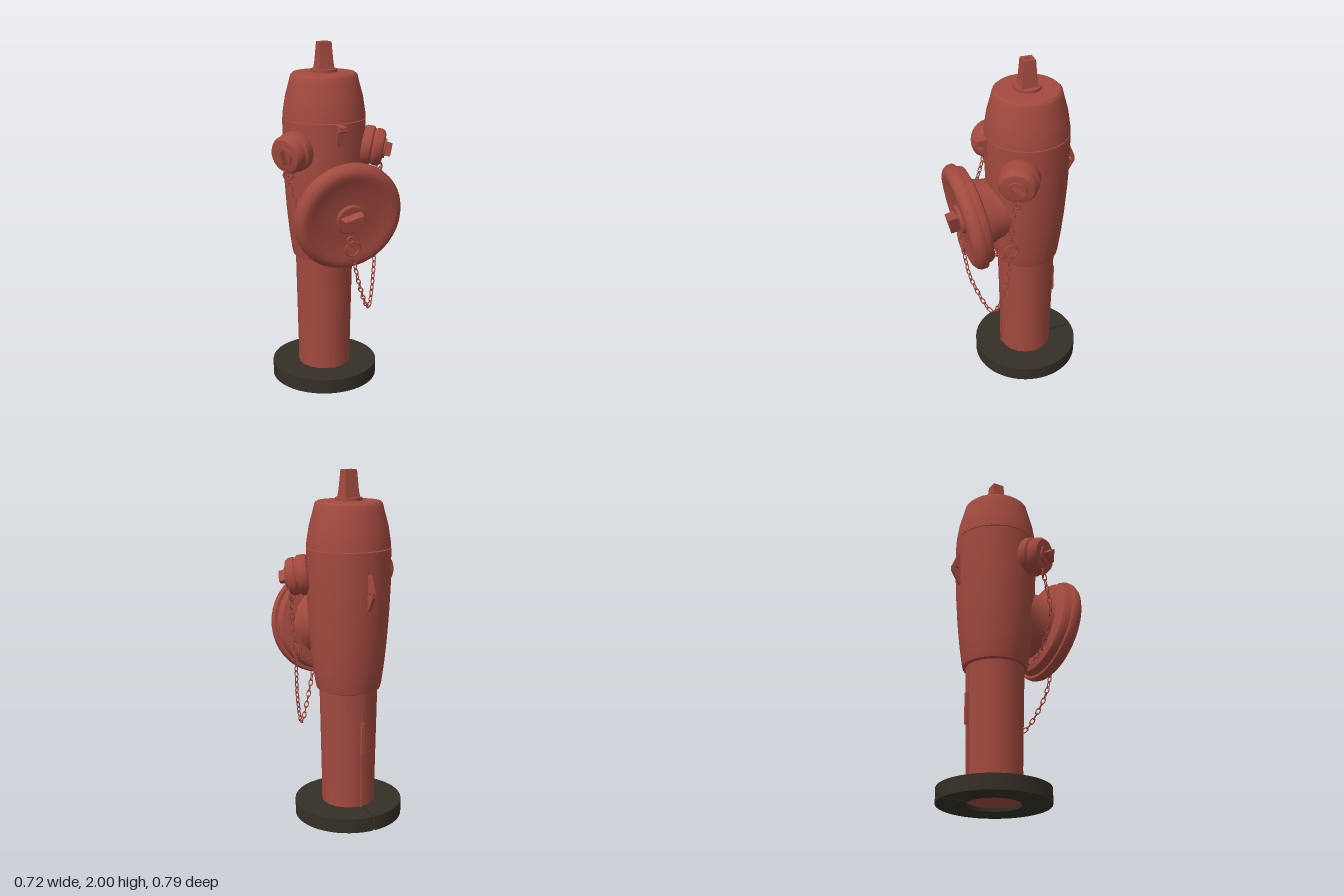
import * as THREE from 'three';
import { toCreasedNormals } from 'three/addons/utils/BufferGeometryUtils.js';

const UP = new THREE.Vector3(0, 1, 0);
const AXIS_X = 0.01, AXIS_Z = -0.08;

export function createModel() {
  const root = new THREE.Group();
  root.name = 'hydrant';
  const red = new THREE.MeshStandardMaterial({ color: 0xa34a3f });
  red.name = 'red paint';
  const dark = new THREE.MeshStandardMaterial({ color: 0x343027 });
  dark.name = 'dark base';

  const add = (parent, name, geometry, material = red) => {
    const mesh = new THREE.Mesh(geometry, material);
    mesh.name = name;
    parent.add(mesh);
    return mesh;
  };
  // Profile of [radius, height] pairs, listed from the bottom up
  const lathe = (profile, sides = 32, start = 0) => toCreasedNormals(
    new THREE.LatheGeometry(profile.map(([r, h]) => new THREE.Vector2(r, h)), sides, start), 0.6);
  const polygon = (points) => new THREE.Shape(points.map(([u, v]) => new THREE.Vector2(u, v)));
  const plate = (shape, thickness) => new THREE.ExtrudeGeometry(shape, { depth: thickness, bevelEnabled: false })
    .translate(0, 0, -thickness / 2);

  // Everything that shares the upright axis
  const column = new THREE.Group();
  column.name = 'column';
  column.position.set(AXIS_X, 0, AXIS_Z);
  root.add(column);

  // Base ring with a slit at the back
  const q = Math.PI / 2, turn = Math.PI * 2;
  const ring = new THREE.Shape();
  ring.absarc(0, 0, 0.312, q + 0.016, q + turn - 0.016, false);
  ring.absarc(0, 0, 0.15, q + turn - 0.033, q + 0.033, true);
  const ringGeometry = new THREE.ExtrudeGeometry(ring, { depth: 0.085, bevelEnabled: false, curveSegments: 28 });
  add(column, 'baseRing', toCreasedNormals(ringGeometry.rotateX(-q), 0.5), dark);

  // Standpipe, barrel and bonnet
  add(column, 'standpipe', lathe([[0, 0.02], [0.155, 0.02], [0.156, 0.2], [0.162, 0.5], [0.168, 0.79]], 20));
  add(column, 'barrel', lathe([[0.16, 0.765], [0.182, 0.775], [0.19, 0.81], [0.205, 0.92], [0.218, 1.05],
    [0.23, 1.22], [0.237, 1.38], [0.237, 1.575], [0.2, 1.575]]));
  add(column, 'bonnet', lathe([[0.2, 1.58], [0.236, 1.58], [0.234, 1.61], [0.22, 1.7], [0.198, 1.78],
    [0.188, 1.82], [0.175, 1.832], [0, 1.836]]));
  add(column, 'topWasher', lathe([[0.075, 1.832], [0.075, 1.85], [0, 1.853]]));
  add(column, 'topNut', lathe([[0.066, 1.85], [0.058, 1.89], [0.047, 2], [0.022, 2], [0.018, 1.97], [0, 1.97]],
    4, Math.PI / 4));

  // Rear eye lug and front fin
  const lug = polygon([[0.2, 1.24], [0.24, 1.26], [0.285, 1.335], [0.285, 1.365], [0.25, 1.45], [0.2, 1.47]]);
  const eye = new THREE.Path();
  eye.absarc(0.256, 1.35, 0.012, 0, turn, true);
  lug.holes.push(eye);
  add(column, 'rearLug', plate(lug, 0.02).rotateY(q));
  const fin = polygon([[0.2, 1.44], [0.24, 1.45], [0.255, 1.53], [0.3, 1.545], [0.3, 1.568], [0.2, 1.575]]);
  add(column, 'frontFin', plate(fin, 0.04).rotateY(-q));

  // Casting seams on the standpipe
  add(column, 'frontSeam', new THREE.BoxGeometry(0.012, 0.68, 0.02).translate(0, 0.42, 0.154));
  add(column, 'rearSeam', new THREE.BoxGeometry(0.012, 0.68, 0.02).translate(0, 0.42, -0.157));
  for (const [y, h] of [[0.52, 0.16], [0.43, 0.02]]) {
    add(column, 'seamBurr', new THREE.BoxGeometry(0.018, h, 0.03).translate(0, y, -0.167));
  }

  // Group whose local y points along a direction
  const aimed = (name, position, direction) => {
    const group = new THREE.Group();
    group.name = name;
    group.position.set(...position);
    group.quaternion.setFromUnitVectors(UP, new THREE.Vector3(...direction).normalize());
    root.add(group);
    return group;
  };

  // Large front outlet, its cap leaning slightly downward
  const front = aimed('frontOutlet', [AXIS_X, 1.08, 0.33], [0, -0.165, 0.986]);
  add(front, 'frontNeck', lathe([[0.17, -0.36], [0.17, -0.24], [0.18, -0.18], [0.205, -0.12]], 24));
  add(front, 'frontCap', lathe([[0, -0.13], [0.23, -0.13], [0.275, -0.118], [0.286, -0.1], [0.288, -0.075],
    [0.305, -0.075], [0.311, -0.065], [0.311, -0.04], [0.3, -0.018], [0.28, -0.003], [0.26, 0],
    [0.23, -0.006], [0.18, -0.018], [0.1, -0.018], [0, -0.016]], 40));
  add(front, 'frontNutFlange', lathe([[0.084, -0.03], [0.084, -0.003], [0.078, 0.002], [0, 0.002]], 24));
  add(front, 'frontNut', toCreasedNormals(new THREE.CylinderGeometry(0.066, 0.072, 0.065, 3), 0.5)
    .rotateY(0.25).translate(0, 0.025, 0));

  // Two smaller outlets, mirrored
  for (const side of [-1, 1]) {
    const outlet = aimed(side > 0 ? 'leftOutlet' : 'rightOutlet', [AXIS_X, 1.465, AXIS_Z],
      [0.87 * side, -0.17, 0.48]);
    add(outlet, 'sideNeck', lathe([[0.095, 0.1], [0.095, 0.2], [0.085, 0.215], [0.085, 0.24]], 24));
    add(outlet, 'sideCap', lathe([[0.08, 0.222], [0.108, 0.225], [0.114, 0.235], [0.114, 0.275], [0.102, 0.284],
      [0.102, 0.292], [0.108, 0.298], [0.106, 0.325], [0.094, 0.343], [0.07, 0.348], [0, 0.346]], 24));
    add(outlet, 'sideNutFlange', lathe([[0.056, 0.335], [0.056, 0.358], [0, 0.36]], 20));
    add(outlet, 'sideNut', toCreasedNormals(new THREE.CylinderGeometry(0.044, 0.05, 0.05, 3), 0.5)
      .rotateY(side * 0.4).translate(0, 0.367, 0));
    const loop = add(root, 'sideRing', new THREE.TorusGeometry(0.025, 0.006, 6, 14));
    loop.position.set(AXIS_X + 0.275 * side, 1.3, 0.08);
    loop.rotation.y = side * 0.5;
  }

  // Rings that hold the chain ends
  const capRing = add(root, 'capRing', new THREE.TorusGeometry(0.042, 0.007, 6, 20));
  capRing.position.set(0.022, 0.91, 0.318);
  capRing.rotation.x = 0.165;
  const capEye = add(root, 'capEye', new THREE.TorusGeometry(0.018, 0.007, 6, 14));
  capEye.position.set(0.005, 0.965, 0.326);
  const joinRing = add(root, 'joinRing', new THREE.TorusGeometry(0.04, 0.006, 6, 18));
  joinRing.position.set(0.255, 0.97, 0.1);
  joinRing.rotation.y = q;

  // Chains of alternating oval links along a curve
  const link = new THREE.TorusGeometry(0.0115, 0.0032, 5, 10).scale(1, 1.75, 1);
  const chain = (name, points) => {
    const group = new THREE.Group();
    group.name = name;
    root.add(group);
    const curve = new THREE.CatmullRomCurve3(points.map((p) => new THREE.Vector3(...p)));
    const count = Math.round(curve.getLength() / 0.034);
    for (let i = 0; i <= count; i++) {
      const mesh = add(group, 'chainLink', link);
      mesh.position.copy(curve.getPointAt(i / count));
      mesh.quaternion.setFromUnitVectors(UP, curve.getTangentAt(i / count));
      mesh.rotateY(i % 2 ? q + 0.4 : 0.4);
    }
  };
  chain('leftChain', [[0.285, 1.28, 0.085], [0.275, 1.15, 0.1], [0.258, 1.01, 0.1]]);
  chain('frontChain', [[0.03, 0.865, 0.31], [0.08, 0.68, 0.28], [0.18, 0.5, 0.19], [0.235, 0.68, 0.13],
    [0.255, 0.93, 0.1]]);
  chain('rightChain', [[-0.265, 1.275, 0.09], [-0.225, 1.1, 0.15], [-0.12, 0.92, 0.16], [0.03, 0.86, 0.17],
    [0.16, 0.89, 0.15], [0.25, 0.94, 0.11]]);

  return root;
}
